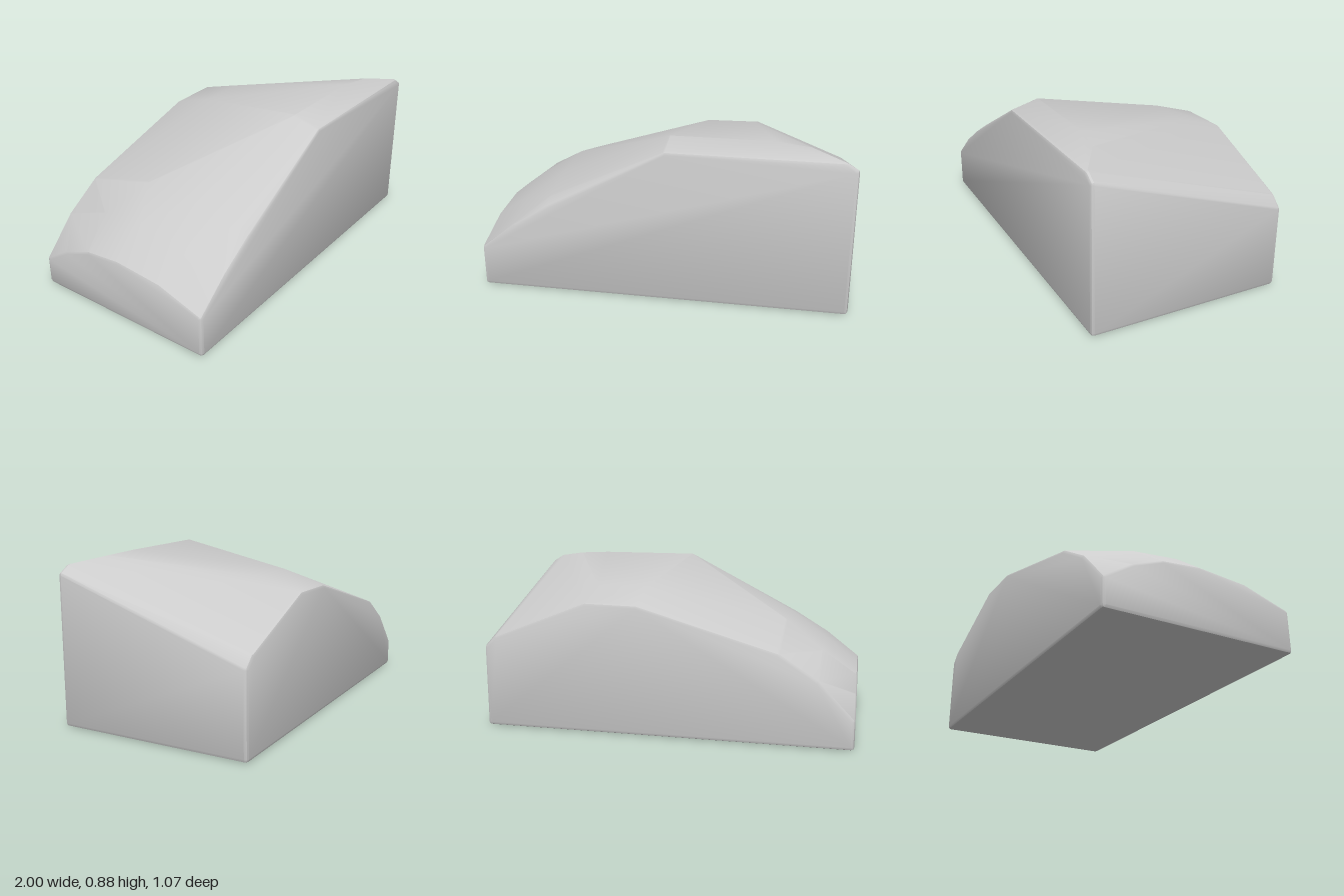
import * as THREE from 'three';
import { ConvexGeometry } from 'three/addons/geometries/ConvexGeometry.js';
import { toCreasedNormals } from 'three/addons/utils/BufferGeometryUtils.js';

const HALF_X = 1, HALF_Z = 0.537, EDGE = 0.018;

// Cross-sections of the sloping top: x, then [z, y] points from front to back
const F = HALF_Z, B = -HALF_Z;
const sections = [
  [-1, [[F, 0.24], [0.27, 0.32], [0, 0.345], [-0.21, 0.325], [-0.37, 0.265], [B, 0.17]]],
  [-0.8, [[F, 0.385], [0.32, 0.45], [0, 0.485], [-0.25, 0.46], [B, 0.36]]],
  [-0.6, [[F, 0.51], [0.46, 0.54], [0.2, 0.585], [-0.12, 0.592], [B, 0.49]]],
  [0.03, [[F, 0.845], [0.38, 0.884]]],
  [0.14, [[-0.3, 0.772], [B, 0.705]]],
  [0.42, [[-0.3, 0.772], [B, 0.71]]],
  [0.58, [[0.38, 0.884]]],
  [0.76, [[0.41, 0.873]]],
  [0.93, [[F, 0.842], [B, 0.51]]],
  [1, [[F, 0.81], [B, 0.46]]],
  // Flat base
  [-1, [[F, 0], [B, 0]]],
  [1, [[F, 0], [B, 0]]],
];

// Directions of a small ball, used to round every edge and corner
function ballDirections() {
  const dirs = [];
  for (let x = -1; x <= 1; x++)
    for (let y = -1; y <= 1; y++)
      for (let z = -1; z <= 1; z++)
        if (x || y || z) dirs.push(new THREE.Vector3(x, y, z).setLength(EDGE));
  return dirs;
}

export function createModel() {
  const group = new THREE.Group();
  group.name = 'slopedBlock';

  const dirs = ballDirections();
  const points = [];
  for (const [x, profile] of sections) {
    for (const [z, y] of profile) {
      // Inset the point by the edge radius, then put the ball around it
      const core = new THREE.Vector3(
        THREE.MathUtils.clamp(x, -HALF_X + EDGE, HALF_X - EDGE),
        Math.max(y - EDGE, EDGE),
        THREE.MathUtils.clamp(z, B + EDGE, F - EDGE)
      );
      for (const d of dirs) points.push(core.clone().add(d));
    }
  }

  const geometry = toCreasedNormals(new ConvexGeometry(points), 0.5);
  const body = new THREE.Mesh(geometry, new THREE.MeshStandardMaterial({ color: 0xcccccc }));
  body.name = 'body';
  group.add(body);
  return group;
}
